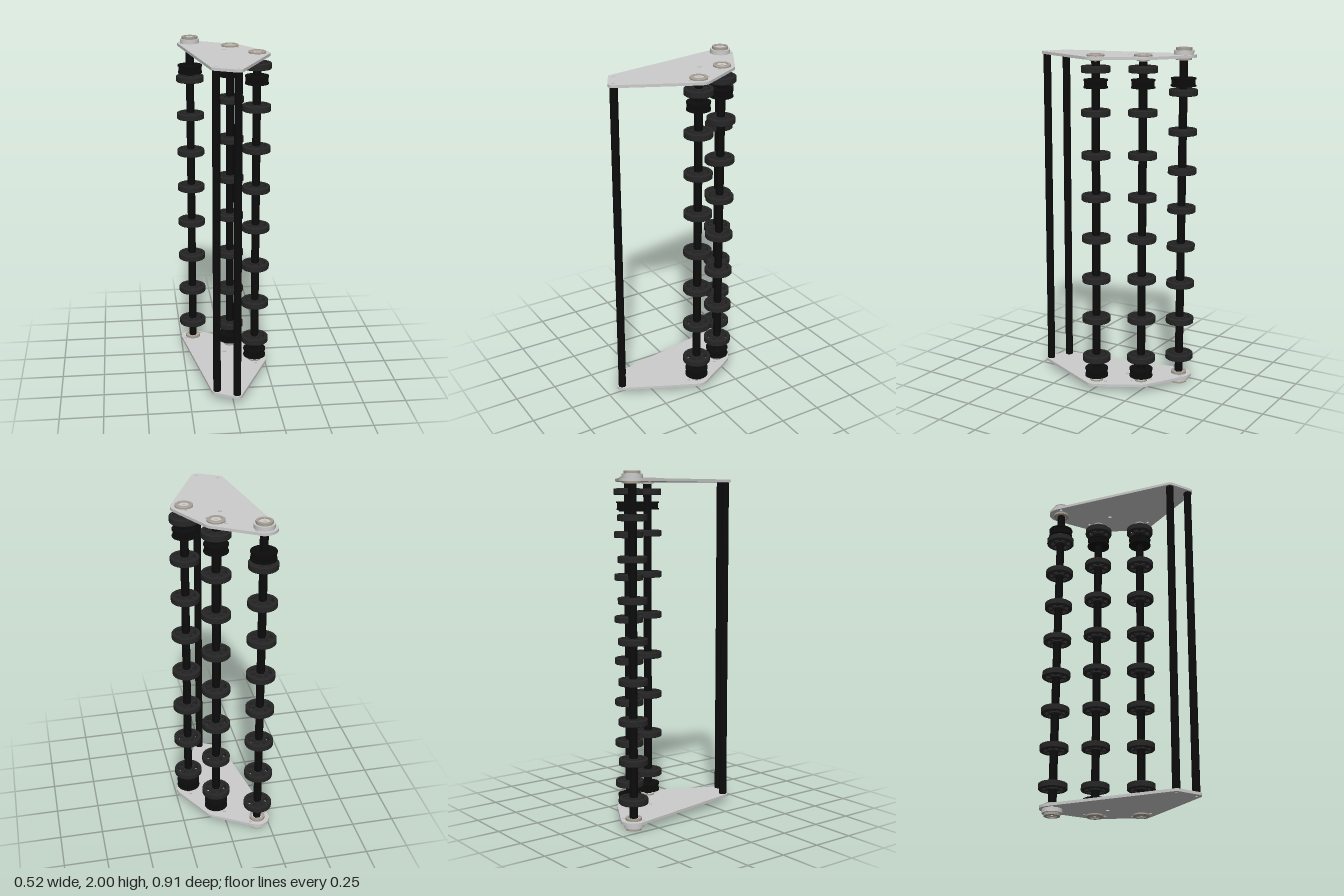
import * as THREE from 'three';

const mat = (color) => new THREE.MeshStandardMaterial({ color });
const grey = mat(0xcccccc), taupe = mat(0xa9a196), black = mat(0x0c0c0c), rubber = mat(0x262626);

// Roller axes and post axes in plan: x, z, plate corner radius
const A = { x: -0.178, z: -0.373, r: 0.073 };
const B = { x: 0.047, z: -0.239, r: 0.073 };
const C = { x: 0.175, z: -0.01, r: 0.073 };
const D = { x: 0.02, z: 0.422, r: 0.03 };
const E = { x: -0.092, z: 0.363, r: 0.03 };
const PLATE = 0.016, TOP = 1.945, LOW = 0.041, BORE = 0.008;

function circle(x, y, r) {
  return new THREE.Path().absarc(x, y, r, 0, Math.PI * 2, true);
}

// Extrude a plan shape upward, centred on height 0
function slab(shape, height, curveSegments = 16) {
  const g = new THREE.ExtrudeGeometry(shape, { depth: height, bevelEnabled: false, curveSegments });
  return g.translate(0, 0, -height / 2).rotateX(-Math.PI / 2);
}

function lathe(profile, segments = 40) {
  const geos = profile.map(([r, y]) => new THREE.Vector2(r, y));
  const g = new THREE.LatheGeometry(geos, segments).toNonIndexed();
  // crisp edges between steps, smooth around the axis
  const p = g.attributes.position, n = g.attributes.normal;
  const a = new THREE.Vector3(), b = new THREE.Vector3(), c = new THREE.Vector3();
  for (let i = 0; i < p.count; i += 3) {
    a.fromBufferAttribute(p, i); b.fromBufferAttribute(p, i + 1); c.fromBufferAttribute(p, i + 2);
    const f = b.clone().sub(a).cross(c.clone().sub(a)).normalize();
    const flat = Math.hypot(f.x, f.z), sign = Math.sign(f.x * (a.x + b.x + c.x) + f.z * (a.z + b.z + c.z));
    [a, b, c].forEach((v, k) => {
      const r = Math.hypot(v.x, v.z) || 1;
      n.setXYZ(i + k, sign * flat * v.x / r, f.y, sign * flat * v.z / r);
    });
  }
  return g;
}

function add(parent, name, geometry, material, x = 0, y = 0, z = 0) {
  const m = new THREE.Mesh(geometry, material);
  m.name = name;
  m.position.set(x, y, z);
  parent.add(m);
  return m;
}

// Plate outline: rounded hull around the five axes
function plateGeometry() {
  const ring = [A, E, D, C, B], shape = new THREE.Shape();
  const tangent = (p, q) => {
    const dx = q.x - p.x, dy = p.z - q.z;
    return Math.atan2(dy, dx) - Math.acos((p.r - q.r) / Math.hypot(dx, dy));
  };
  ring.forEach((p, i) => {
    const from = tangent(ring[(i + 4) % 5], p), to = tangent(p, ring[(i + 1) % 5]);
    shape.absarc(p.x, -p.z, p.r, from, to, false);
  });
  const holes = [[0, -0.123, 0.011], [0.173, -0.07, 0.008], [0.178, 0.048, 0.008], [0.005, -0.282, 0.008],
    [0.088, -0.197, 0.008], [-0.128, -0.408, 0.008], [-0.228, -0.34, 0.008]];
  [A, B, C].forEach((p) => holes.push([p.x, p.z, 0.03]));
  [D, E].forEach((p) => holes.push([p.x, p.z, BORE]));
  holes.forEach(([x, z, r]) => shape.holes.push(circle(x, -z, r)));
  return slab(shape, PLATE);
}

// Spoked web with six windows
function webGeometry() {
  const shape = new THREE.Shape().absarc(0, 0, 0.064, 0, Math.PI * 2, false);
  shape.holes.push(circle(0, 0, 0.02));
  for (let i = 0; i < 6; i++) {
    const a = i * Math.PI / 3, w = new THREE.Path();
    w.absarc(0, 0, 0.06, a - 0.38, a + 0.38, false);
    w.absarc(0, 0, 0.037, a + 0.28, a - 0.28, true);
    w.closePath();
    shape.holes.push(w);
  }
  return slab(shape, 0.022, 8);
}

// Toothed drum between the pulley flanges
function drumGeometry(r) {
  const shape = new THREE.Shape(), teeth = 24;
  for (let i = 0; i < teeth * 4; i++) {
    const a = (i / (teeth * 4)) * Math.PI * 2, k = i % 4 < 2 ? r : r - 0.005;
    shape[i ? 'lineTo' : 'moveTo'](k * Math.cos(a), k * Math.sin(a));
  }
  shape.closePath();
  shape.holes.push(circle(0, 0, 0.02));
  return slab(shape, 0.044);
}

function flangeGeometry(r) {
  return lathe([[0.02, -0.004], [r, -0.004], [r, 0.004], [0.02, 0.004], [0.02, -0.004]]);
}

export function createModel() {
  const root = new THREE.Group();
  root.name = 'rollerFrame';

  // End plates
  const plate = plateGeometry();
  add(root, 'topPlate', plate, grey, 0, TOP + PLATE / 2, 0);
  add(root, 'bottomPlate', plate, grey, 0, LOW + PLATE / 2, 0);

  // Hollow round posts
  const h = (TOP - LOW - PLATE) / 2;
  const post = lathe([[BORE, -h], [0.022, -h], [0.022, h], [BORE, h], [BORE, -h]], 32);
  [D, E].forEach((p) => add(root, 'post', post, black, p.x, 1.001, p.z));

  // Shared roller parts
  const hex = new THREE.Shape();
  for (let i = 0; i < 6; i++) {
    const a = i * Math.PI / 3;
    hex[i ? 'lineTo' : 'moveTo'](0.024 * Math.cos(a), 0.024 * Math.sin(a));
  }
  hex.closePath();
  hex.holes.push(circle(0, 0, BORE));
  const shaft = slab(hex, 1.916);
  const tire = lathe([[0.062, -0.018], [0.079, -0.018], [0.082, -0.015], [0.082, 0.015], [0.079, 0.018],
    [0.062, 0.018], [0.062, -0.018]]);
  const hub = lathe([[0.02, -0.018], [0.034, -0.018], [0.034, 0.018], [0.02, 0.018], [0.02, -0.018]], 24);
  const web = webGeometry();

  // Bearings, heights measured outward from the plate's outer face
  const tall = lathe([[0.03, -0.03], [0.046, -0.03], [0.046, 0.039], [0.03, 0.039], [0.03, -0.03]]);
  const collar = lathe([[0.04, 0], [0.057, 0], [0.057, 0.024], [0.04, 0.024], [0.04, 0]]);
  const short = lathe([[0.03, -0.024], [0.037, -0.024], [0.037, 0], [0.05, 0], [0.05, 0.008],
    [0.046, 0.012], [0.03, 0.012], [0.03, -0.024]]);
  const raceTo = (y) => lathe([[BORE, -0.026], [0.031, -0.026], [0.031, y], [BORE, y], [BORE, -0.026]]);
  const tallRace = raceTo(0.034), shortRace = raceTo(0.008);

  function roller(name, axis, firstWheel, pitch, pulleys, pulleyRadius, isTall) {
    const g = new THREE.Group();
    g.name = name;
    g.position.set(axis.x, 0, axis.z);
    root.add(g);
    add(g, 'shaft', shaft, black, 0, 1.001, 0);

    for (let i = 0; i < 8; i++) {
      const wheel = new THREE.Group();
      wheel.name = 'wheel';
      wheel.position.y = firstWheel + i * pitch;
      add(wheel, 'tire', tire, rubber);
      add(wheel, 'spokedWeb', web, rubber);
      add(wheel, 'hub', hub, rubber);
      g.add(wheel);
    }

    const drum = drumGeometry(pulleyRadius - 0.004), flange = flangeGeometry(pulleyRadius);
    pulleys.forEach((y) => {
      const pulley = new THREE.Group();
      pulley.name = 'pulley';
      pulley.position.y = y;
      add(pulley, 'toothedDrum', drum, black);
      [-0.02, 0.02].forEach((dy) => add(pulley, 'pulleyFlange', flange, black, 0, dy, 0));
      g.add(pulley);
    });

    // One bearing at each end, the lower one turned over
    [0, 1].forEach((end) => {
      const b = new THREE.Group();
      b.name = end ? 'bottomBearing' : 'topBearing';
      b.position.y = end ? LOW : TOP + PLATE;
      b.rotation.x = end * Math.PI;
      add(b, 'bearingHousing', isTall ? tall : short, taupe);
      add(b, 'innerRace', isTall ? tallRace : shortRace, grey);
      if (isTall) add(b, 'bearingCollar', collar, grey);
      g.add(b);
    });
  }

  roller('rearRoller', A, 0.17, 0.2256, [1.807], 0.072, true);
  roller('middleRoller', B, 0.201, 0.2413, [0.11, 1.81], 0.068, false);
  roller('frontRoller', C, 0.201, 0.2413, [0.11, 1.81], 0.068, false);
  return root;
}
